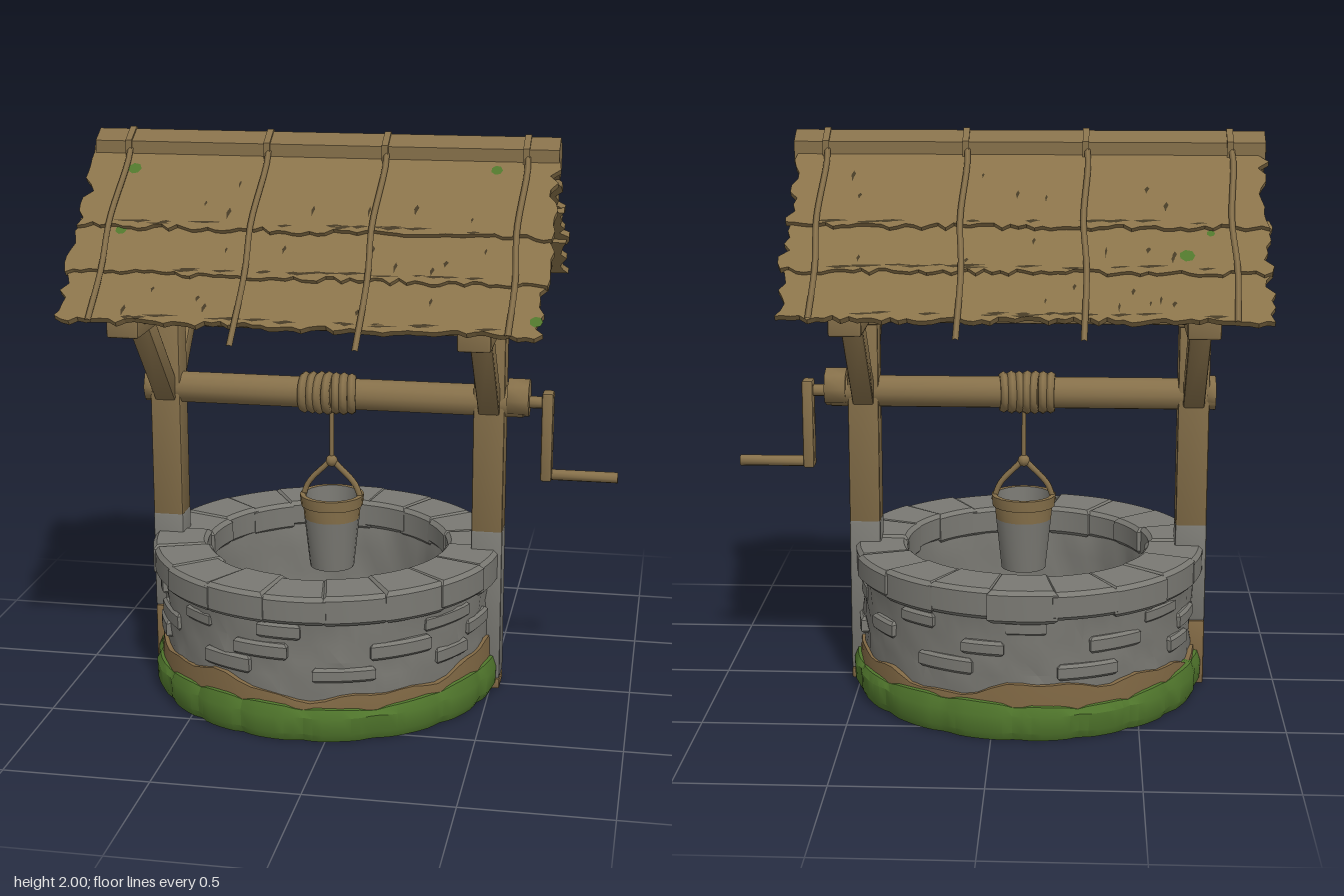
import * as THREE from 'three';
import { toCreasedNormals } from 'three/addons/utils/BufferGeometryUtils.js';
import { RoundedBoxGeometry } from 'three/addons/geometries/RoundedBoxGeometry.js';

const mat = (name, color) => new THREE.MeshStandardMaterial({ name, color });
const V2 = (x, y) => new THREE.Vector2(x, y);
const V3 = (x, y, z) => new THREE.Vector3(x, y, z);

export function createModel() {
  const wood = mat('wood', 0x86704a);
  const thatch = mat('thatch', 0x8a734a);
  const stone = mat('stone', 0x7a7973);
  const grass = mat('grass', 0x50762c);
  const dirt = mat('dirt', 0x806844);
  const crevice = mat('crevice', 0x453a25);

  let seed = 7;
  const rnd = (a = 0, b = 1) => {
    seed = (seed * 16807) % 2147483647;
    return a + (b - a) * (seed / 2147483647);
  };

  // Everything is built around the axis of the well, which sits left of centre
  const model = new THREE.Group();
  model.name = 'well';
  const well = new THREE.Group();
  well.name = 'wellBody';
  well.position.x = -0.105;
  model.add(well);

  const add = (name, geo, material, parent = well) => {
    const m = new THREE.Mesh(geo, material);
    m.name = name;
    parent.add(m);
    return m;
  };
  const beam = (name, size, pos, material = wood, parent = well) => {
    const m = add(name, toCreasedNormals(new RoundedBoxGeometry(...size, 1, 0.008), 0.5), material, parent);
    m.position.set(...pos);
    return m;
  };
  const rod = (name, r, length, pos, sides = 10, parent = well, material = wood) => {
    const m = add(name, toCreasedNormals(new THREE.CylinderGeometry(r, r, length, sides), 0.8), material, parent);
    m.rotation.z = Math.PI / 2;
    m.position.set(...pos);
    return m;
  };
  // Turned shape whose radius and height are changed by a rule of angle and height
  const ring = (name, profile, material, rule, segments = 72) => {
    const geo = new THREE.LatheGeometry(profile.map(p => V2(...p)), segments);
    const p = geo.attributes.position;
    for (let i = 0; i < p.count; i++) {
      const x = p.getX(i), y = p.getY(i), z = p.getZ(i), r = Math.hypot(x, z);
      const a = Math.atan2(z, x);
      const [k, ny] = rule ? rule(a, y, r) : [1, y];
      p.setXYZ(i, x * k, ny, z * k);
    }
    return add(name, toCreasedNormals(geo, 0.5), material);
  };
  // Curved stone block covering part of a circle
  const block = (name, r0, r1, a0, a1, y, h, bevel) => {
    const s = new THREE.Shape();
    s.absarc(0, 0, r1 - bevel, a0, a1, false);
    s.absarc(0, 0, r0 + bevel, a1, a0, true);
    const geo = new THREE.ExtrudeGeometry(s, {
      depth: h - 2 * bevel, bevelThickness: bevel, bevelSize: bevel, bevelSegments: 1, curveSegments: 4
    });
    geo.rotateX(-Math.PI / 2);
    geo.translate(0, y + bevel, 0);
    return add(name, toCreasedNormals(geo, 0.5), stone);
  };

  // Stone wall with its shaft and floor
  ring('stoneWall', [[0.58, 0.08], [0.59, 0.16], [0.588, 0.22], [0.592, 0.28], [0.59, 0.34], [0.6, 0.44],
    [0.44, 0.44], [0.43, 0.34], [0.44, 0.24], [0.43, 0.15], [0, 0.15]], stone,
  (a, y) => [1 + 0.008 * Math.sin(9 * a + y * 31) + 0.006 * Math.sin(17 * a - y * 50), y]);
  for (let row = 0; row < 3; row++) {
    for (let i = 0; i < 8; i++) {
      const a = (i + row * 0.37 + rnd(0, 0.4)) * Math.PI / 4;
      block('wallStone', 0.54, rnd(0.598, 0.61), a, a + rnd(0.18, 0.36), 0.21 + row * 0.072 + rnd(-0.01, 0.01), rnd(0.05, 0.065), 0.01);
    }
  }

  // Rim of cut stones
  const rimCount = 18, step = Math.PI * 2 / rimCount;
  for (let i = 0; i < rimCount; i++) {
    const y = 0.42 + rnd(-0.008, 0.008);
    block('rimStone', rnd(0.415, 0.435), rnd(0.617, 0.632), i * step + 0.008, (i + 1) * step - rnd(0.006, 0.02), y, 0.525 + rnd(-0.006, 0.006) - y, 0.014);
  }

  // Earth band and grassy foot
  ring('earthBand', [[0.606, 0.08], [0.606, 0.12], [0.602, 0.17], [0.57, 0.172]], dirt,
    (a, y) => [1, y > 0.15 ? y + 0.022 * Math.sin(3 * a + 1) + 0.014 * Math.sin(7 * a) + 0.008 * Math.sin(16 * a) : y]);
  ring('grassFoot', [[0, 0], [0.612, 0], [0.628, 0.03], [0.63, 0.09], [0.617, 0.125], [0.57, 0.132]], grass,
    (a, y, r) => {
      const notch = Math.pow(Math.abs(Math.cos(8.5 * a + 0.5 * Math.sin(3 * a))), 10);
      return [r > 0.1 ? 1 - 0.018 * notch : 1, y > 0.1 ? y - 0.012 * notch + 0.01 * Math.sin(4 * a) : y];
    }, 120);

  // Posts, cross beams, braces and king posts
  for (const side of [-1, 1]) {
    const x = side * 0.583, split = side < 0 ? 0.24 : 0.04;
    beam('postFoot', [0.112, split, 0.108], [x, split / 2, 0], dirt);
    beam('postBase', [0.112, 0.6 - split, 0.108], [x, (0.6 + split) / 2, 0], stone);
    beam('post', [0.11, 0.8, 0.106], [x, 0.99, 0]);
    beam('postCap', [0.125, 0.06, 0.15], [x, 1.345, 0]);
    beam('crossBeam', [0.11, 0.1, 1.08], [x, 1.41, 0]);
    beam('kingPost', [0.08, 0.44, 0.08], [x, 1.66, 0]);
    for (const dir of [-1, 1]) {
      const brace = beam('brace', [0.075, 0.46, 0.07], [x, 1.215, dir * 0.18]);
      brace.rotation.x = dir * 0.74;
    }
  }
  for (const dir of [-1, 1]) beam('eavePurlin', [1.42, 0.065, 0.075], [0, 1.43, dir * 0.44]);

  // Roof slopes: three overlapping ragged courses, with battens below and ties above
  const angle = 0.76, thick = 0.022;
  const courses = [[0, 0.38], [0.34, 0.57], [0.53, 0.765]];
  const raggedCourse = (length, half) => {
    const s = new THREE.Shape();
    s.moveTo(-half, 0);
    const rows = Math.round(length / 0.03), cols = 60;
    for (let i = 1; i < rows; i++) s.lineTo(-half + rnd(-0.012, 0.03), -length * i / rows);
    for (let i = 0; i <= cols; i++) s.lineTo(-half + 2 * half * i / cols, -length + rnd(-0.012, 0.012));
    for (let i = rows - 1; i > 0; i--) s.lineTo(half + rnd(-0.03, 0.012), -length * i / rows);
    s.lineTo(half, 0);
    return new THREE.ExtrudeGeometry(s, { depth: thick, bevelEnabled: false });
  };
  const sliver = (x, y, w, h) => new THREE.Shape([
    V2(x - w, y), V2(x - w * 0.3, y - h), V2(x + w * 0.2, y - h * 0.4), V2(x + w, y + h * 0.2), V2(x + w * 0.1, y + h * 0.7)]);
  for (const side of [1, -1]) {
    const turn = new THREE.Group();
    turn.name = side > 0 ? 'frontRoof' : 'backRoof';
    turn.rotation.y = side > 0 ? 0 : Math.PI;
    turn.position.y = 1.93;
    well.add(turn);
    const slope = new THREE.Group();
    slope.name = 'roofSlope';
    slope.rotation.x = angle - Math.PI / 2;
    turn.add(slope);

    courses.forEach(([top, end], row) => {
      const length = end - top;
      const course = add('thatchCourse', raggedCourse(length, 0.805), thatch, slope);
      course.position.set(0, -top, row ? -0.002 : 0.004);
      course.rotation.x = row ? -0.075 : -0.035;
      const cuts = [];
      for (let i = 0; i < 16; i++) cuts.push(sliver(rnd(-0.65, 0.65), -length + rnd(0.012, 0.025), rnd(0.02, 0.06), rnd(0.004, 0.01)));
      for (let i = 0; i < 7; i++) cuts.push(sliver(rnd(-0.6, 0.6), -length * rnd(0.4, 0.85), rnd(0.004, 0.009), rnd(0.012, 0.03)));
      add('thatchGaps', new THREE.ShapeGeometry(cuts), crevice, course).position.z = thick + 0.002;
      // Moss patches
      const spots = side > 0 ? [[-0.65, 0.13, 0, 0.024], [0.6, 0.1, 0, 0.02], [0.78, 0.18, 2, 0.022], [-0.65, 0.05, 1, 0.02]]
        : [[0.53, 0.16, 1, 0.026], [0.61, 0.06, 1, 0.014]];
      for (const [x, y, r, size] of spots) {
        if (r !== row) continue;
        const moss = add('moss', new THREE.CircleGeometry(size, 7), grass, course);
        moss.position.set(x, -y, thick + 0.003);
      }
    });

    for (const x of [-0.583, 0.583]) beam('rafter', [0.08, 0.7, 0.055], [x, -0.37, -0.03], wood, slope);
    for (const s of [0.2, 0.42, 0.66]) beam('batten', [1.5, 0.05, 0.025], [0, -s, -0.012], wood, slope);
    // Ties across the thatch
    [[-0.685, 0.77], [-0.195, 0.85], [0.215, 0.85], [0.695, 0.77]].forEach(([x, end]) => {
      const path = new THREE.CatmullRomCurve3([V3(0, 0, 0.035), V3(0.008, -0.1, 0.04), V3(-0.006, -0.36, 0.044),
        V3(0.006, -0.56, 0.044), V3(0, -end, 0.038)].map(p => p.add(V3(x * side, 0, 0))));
      add('roofTie', new THREE.TubeGeometry(path, 16, 0.011, 5), wood, slope);
    });
  }
  // Ridge log with its bindings
  const ridge = rod('ridgeLog', 0.072, 1.61, [0, 1.916, 0], 6);
  ridge.rotation.set(0, 0, Math.PI / 2);
  ridge.geometry.rotateY(Math.PI / 2);
  for (const x of [-0.685, -0.195, 0.215, 0.695]) {
    const bind = rod('ridgeBinding', 0.08, 0.022, [x, 1.916, 0], 6);
    bind.geometry.rotateY(Math.PI / 2);
  }

  // Windlass with rope windings
  rod('axle', 0.057, 1.36, [0.02, 1.065, 0], 12);
  rod('axleCollar', 0.068, 0.075, [0.683, 1.08, 0], 8);
  rod('axleEnd', 0.062, 0.03, [-0.645, 1.07, 0], 8);
  for (let i = 0; i < 7; i++) {
    const coil = add('ropeCoil', new THREE.TorusGeometry(0.056 + rnd(0, 0.006), 0.017, 6, 18), wood);
    coil.rotation.set(0, Math.PI / 2 + rnd(-0.15, 0.15), 0);
    coil.position.set(-0.08 + i * 0.028, 1.065, 0);
  }

  // Crank
  rod('crankShaft', 0.022, 0.09, [0.755, 1.065, 0], 8);
  beam('crankArm', [0.04, 0.32, 0.062], [0.785, 0.945, 0]);
  rod('crankHandle', 0.02, 0.26, [0.905, 0.805, 0], 8);

  // Rope, bail and bucket
  const bx = 0.015;
  const rope = add('rope', new THREE.CylinderGeometry(0.009, 0.009, 0.2, 6), wood);
  rope.position.set(bx, 0.91, 0);
  const bail = new THREE.CatmullRomCurve3([[-0.108, 0.67], [-0.085, 0.73], [-0.03, 0.79], [0, 0.815], [0.03, 0.79], [0.085, 0.73], [0.108, 0.67]]
    .map(([x, y]) => V3(bx + x, y, 0)));
  add('bucketBail', new THREE.TubeGeometry(bail, 24, 0.011, 6), wood);
  const knot = add('ropeKnot', new THREE.SphereGeometry(0.022, 8, 6), wood);
  knot.position.set(bx, 0.815, 0);
  const bucketParts = [
    ['bucketBase', [[0, 0.42], [0.08, 0.42], [0.1, 0.605]], stone],
    ['bucketTop', [[0.1, 0.605], [0.104, 0.65], [0.112, 0.652], [0.116, 0.692], [0.098, 0.692]], wood],
    ['bucketInside', [[0.098, 0.692], [0.075, 0.45], [0, 0.45]], stone]
  ];
  for (const [name, profile, material] of bucketParts) ring(name, profile, material, null, 18).position.x = bx;

  return model;
}
